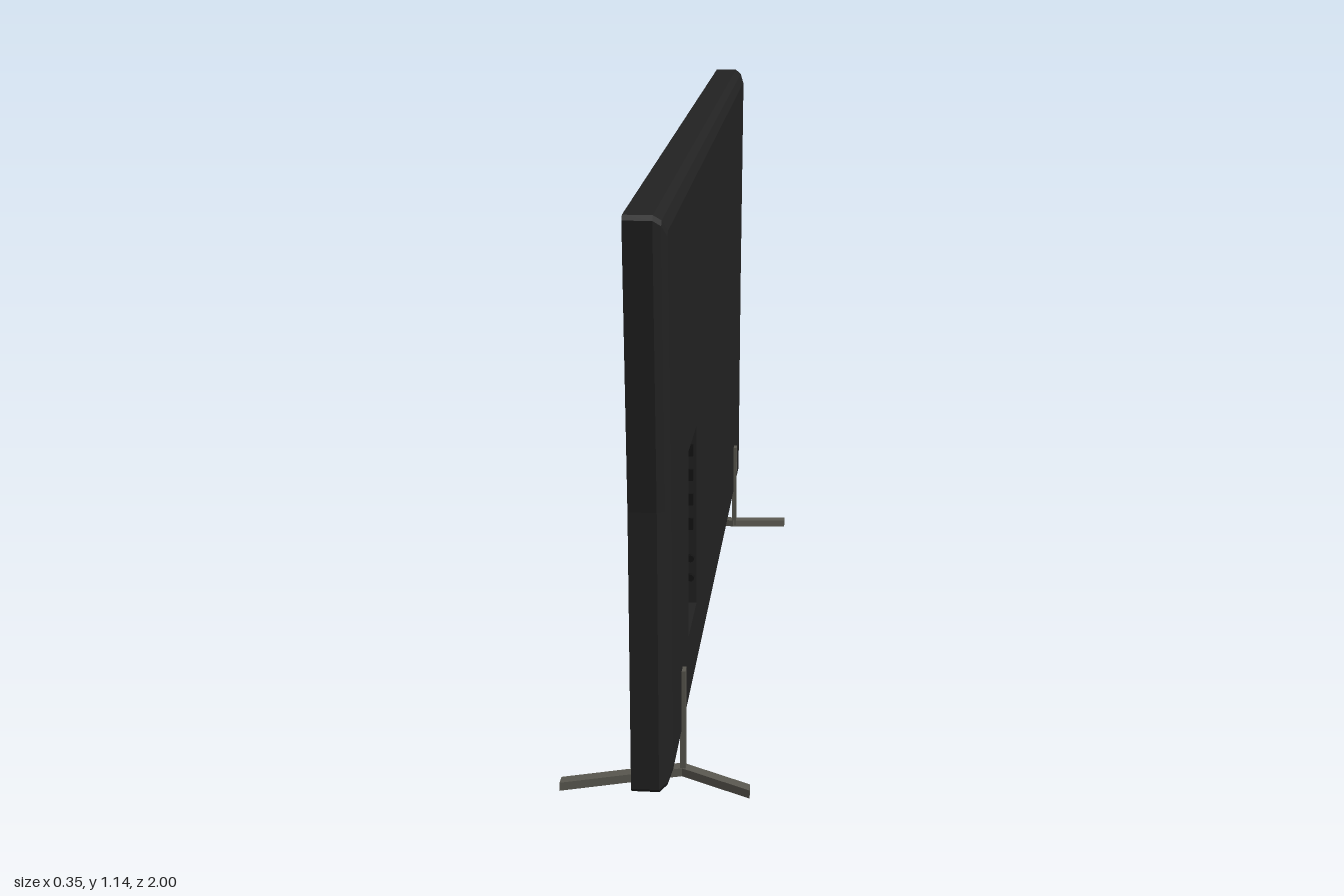
import * as THREE from 'three';

const body = new THREE.MeshStandardMaterial({ color: 0x222222 });
body.name = 'black casing';
const glass = new THREE.MeshStandardMaterial({ color: 0x55534e, side: THREE.DoubleSide });
glass.name = 'screen grey';
const metal = new THREE.MeshStandardMaterial({ color: 0x5a5850 });
metal.name = 'stand metal';
const dark = new THREE.MeshStandardMaterial({ color: 0x141414 });
dark.name = 'port black';

function add(parent, name, geometry, material) {
  const mesh = new THREE.Mesh(geometry, material);
  mesh.name = name;
  parent.add(mesh);
  return mesh;
}

// Casing outline, anticlockwise seen from behind, moved in by d, with clipped corners
function outline(d) {
  const raw = [
    [-0.94 + d, 0.08 + d, 1], [0.90 - d, 0.08 + d, 1], [0.935 - d, 0.6, 0],
    [1 - d, 1.14 - d, 1], [-1 + d, 1.107 - d, 1], [-0.955 + d, 0.6, 0],
  ].map(([x, y, corner]) => ({ p: new THREE.Vector2(x, y), corner }));
  const out = [];
  raw.forEach(({ p, corner }, i) => {
    if (!corner) { out.push(p); return; }
    for (const j of [i + 5, i + 1]) {
      const dir = raw[j % 6].p.clone().sub(p).normalize();
      out.push(p.clone().addScaledVector(dir, 0.008));
    }
  });
  return out;
}

// Flat bands that join successive rings, each ring being [points, depth]
function bands(rings) {
  const pos = [];
  for (let k = 0; k + 1 < rings.length; k++) {
    const [a, wa] = rings[k], [b, wb] = rings[k + 1];
    for (let i = 0; i < a.length; i++) {
      const j = (i + 1) % a.length;
      const A = [a[i].x, a[i].y, wa], B = [a[j].x, a[j].y, wa];
      const C = [b[j].x, b[j].y, wb], D = [b[i].x, b[i].y, wb];
      pos.push(...A, ...B, ...C, ...A, ...C, ...D);
    }
  }
  const g = new THREE.BufferGeometry();
  g.setAttribute('position', new THREE.Float32BufferAttribute(pos, 3));
  g.computeVertexNormals();
  return g;
}

function buildPanel() {
  const panel = new THREE.Group();
  panel.name = 'displayPanel';

  // Bezel, sides and rear bevel
  add(panel, 'casing', bands([
    [outline(0.016), -0.021], [outline(0.015), -0.025], [outline(0), -0.025],
    [outline(0), 0.024], [outline(0.01), 0.037], [outline(0.03), 0.045],
  ]), body);
  add(panel, 'screen', new THREE.ShapeGeometry(new THREE.Shape(outline(0.016))).translate(0, 0, -0.021), glass);

  // Back plate with the connector recess
  const hole = [[-0.6, 0.235], [-0.425, 0.235], [-0.425, 0.6], [-0.6, 0.6]]
    .map(([x, y]) => new THREE.Vector2(x, y));
  const back = new THREE.Shape(outline(0.03));
  back.holes.push(new THREE.Path(hole));
  add(panel, 'backPlate', new THREE.ShapeGeometry(back).translate(0, 0, 0.045), body);
  add(panel, 'recessWalls', bands([[hole, 0.045], [hole, 0.022]]), body);
  add(panel, 'recessFloor', new THREE.ShapeGeometry(new THREE.Shape(hole)).translate(0, 0, 0.022), body);

  // Sockets along the recess wall
  for (const y of [0.4, 0.45, 0.5, 0.55]) {
    add(panel, 'slotSocket', new THREE.BoxGeometry(0.006, 0.024, 0.009), dark).position.set(-0.427, y, 0.034);
  }
  for (const y of [0.29, 0.33]) {
    const socket = add(panel, 'roundSocket', new THREE.CylinderGeometry(0.007, 0.007, 0.012, 12), dark);
    socket.rotation.z = Math.PI / 2;
    socket.position.set(-0.43, y, 0.034);
  }

  // Sensor under the middle of the screen
  add(panel, 'sensor', new THREE.BoxGeometry(0.07, 0.012, 0.008), dark).position.set(0, 0.084, -0.022);

  panel.rotation.y = Math.PI / 2;
  return panel;
}

// Sloping bar of constant section between two points, its ends cut square to x
function leg(x0, y0, z0, x1, y1, z1) {
  const g = new THREE.BoxGeometry(1, 0.016, 0.024);
  const p = g.attributes.position;
  for (let i = 0; i < p.count; i++) {
    const t = p.getX(i) + 0.5;
    p.setXYZ(i, x0 + (x1 - x0) * t, p.getY(i) + y0 + (y1 - y0) * t, p.getZ(i) + z0 + (z1 - z0) * t);
  }
  g.computeVertexNormals();
  return g;
}

function buildStand(z, side) {
  const stand = new THREE.Group();
  stand.name = 'stand';
  const tip = z + side * 0.05;
  add(stand, 'upright', new THREE.BoxGeometry(0.01, 0.205, 0.022), metal).position.set(0.047, 0.1225, z);
  add(stand, 'frontLeg', leg(-0.175, 0.011, tip, 0.045, 0.025, z), metal);
  add(stand, 'rearLeg', leg(0.045, 0.025, z, 0.173, 0.011, tip), metal);
  return stand;
}

export function createModel() {
  const model = new THREE.Group();
  model.name = 'television';
  model.add(buildPanel(), buildStand(0.73, 1), buildStand(-0.675, -1));
  return model;
}
